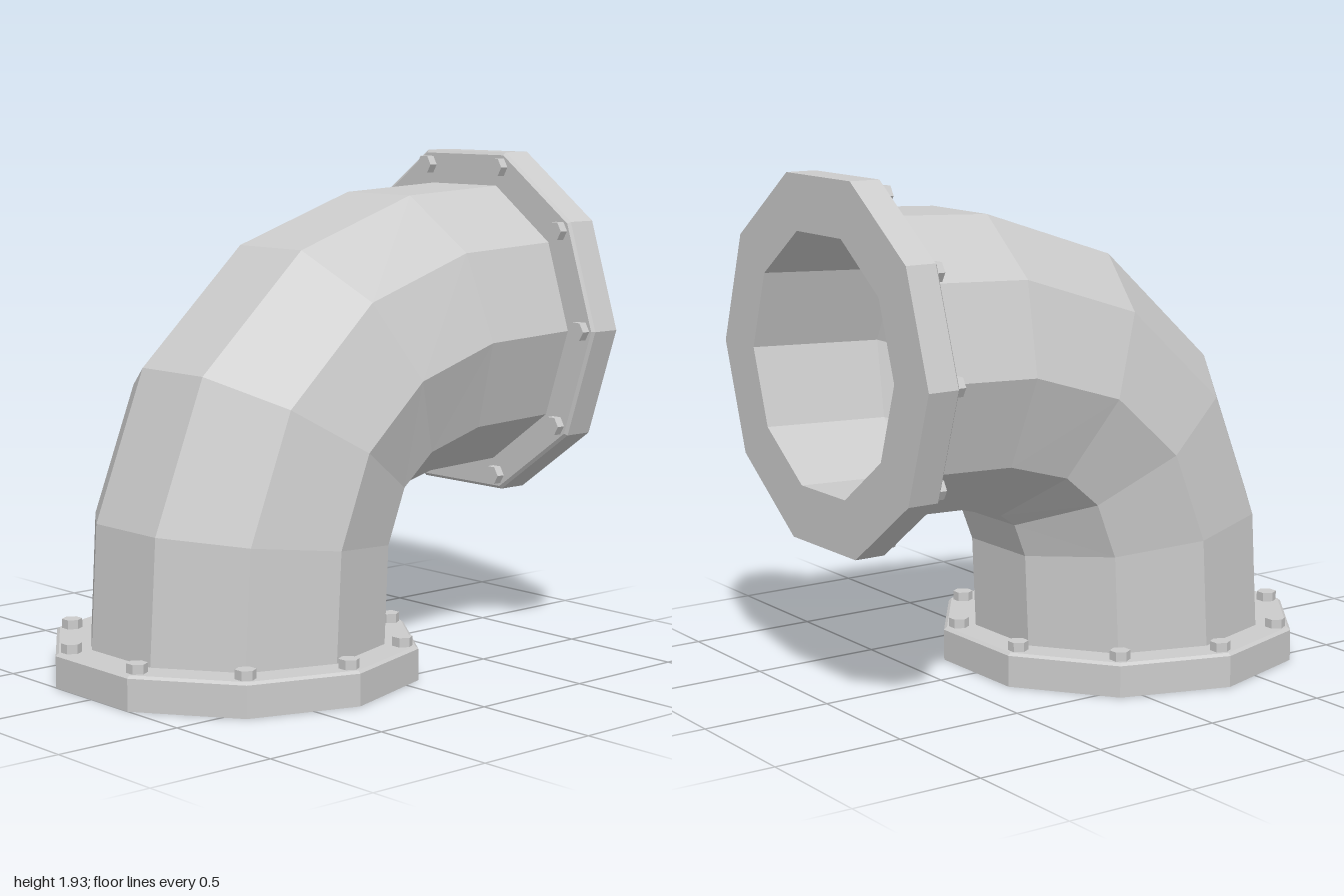
import * as THREE from 'three';

const SIDES = 10;
const PIPE_R = 0.573, BORE_R = 0.49, FLANGE_R = 0.706;
const material = new THREE.MeshStandardMaterial({ color: 0xcccccc, flatShading: true });

// Bend stations: outer-side point (x, y) and inner-side point (x, y)
const STATIONS = [
  [-0.875, 0, 0.215, 0],
  [-0.84, 0.6, 0.235, 0.48],
  [-0.62, 1.16, 0.283, 0.605],
  [-0.15, 1.592, 0.345, 0.65],
  [0.4, 1.775, 0.52, 0.695],
  [1, 1.803, 1, 0.712],
];

function mesh(name, geometry) {
  const m = new THREE.Mesh(geometry, material);
  m.name = name;
  return m;
}

// Ten-sided tube through the stations; inward = true turns the faces to the inside
function bentTube(radius, inward) {
  const positions = [], index = [];
  const scale = radius / PIPE_R;
  for (const [ox, oy, ix, iy] of STATIONS) {
    const cx = (ox + ix) / 2, cy = (oy + iy) / 2;
    const k = scale / Math.cos(Math.PI / SIDES);
    const ux = (ix - ox) / 2 * k, uy = (iy - oy) / 2 * k;
    for (let j = 0; j < SIDES; j++) {
      const a = j / SIDES * Math.PI * 2;
      positions.push(cx + ux * Math.sin(a), cy + uy * Math.sin(a), radius * Math.cos(a));
    }
  }
  for (let i = 0; i < STATIONS.length - 1; i++) {
    for (let j = 0; j < SIDES; j++) {
      const a = i * SIDES + j, b = i * SIDES + (j + 1) % SIDES;
      const c = b + SIDES, d = a + SIDES;
      if (inward) index.push(a, d, b, c, b, d);
      else index.push(a, b, d, c, d, b);
    }
  }
  const g = new THREE.BufferGeometry();
  g.setAttribute('position', new THREE.Float32BufferAttribute(positions, 3));
  g.setIndex(index);
  g.computeVertexNormals();
  return g;
}

// Flange ring with a small chamfer and a hex bolt at each corner; mating face at y = 0
function flange(name) {
  const group = new THREE.Group();
  group.name = name;
  const profile = [
    [BORE_R, 0], [FLANGE_R, 0], [FLANGE_R, 0.12], [FLANGE_R - 0.012, 0.13], [BORE_R, 0.13],
  ].map(([x, y]) => new THREE.Vector2(x, y));
  group.add(mesh('flangeRing', new THREE.LatheGeometry(profile, SIDES)));

  const boltGeometry = new THREE.CylinderGeometry(0.039, 0.039, 0.05, 6);
  for (let i = 0; i < SIDES; i++) {
    const a = i / SIDES * Math.PI * 2;
    const bolt = mesh('bolt', boltGeometry);
    bolt.position.set(0.645 * Math.sin(a), 0.14, 0.645 * Math.cos(a));
    group.add(bolt);
  }
  return group;
}

export function createModel() {
  const model = new THREE.Group();
  model.name = 'pipeElbow';

  // Pipe wall, outside and inside
  model.add(mesh('pipeOuterWall', bentTube(PIPE_R, false)));
  model.add(mesh('pipeBore', bentTube(BORE_R, true)));

  // Flange at the foot
  const bottom = flange('bottomFlange');
  bottom.position.set(-0.33, 0, 0);
  model.add(bottom);

  // Flange at the side opening, facing +x
  const side = flange('sideFlange');
  side.position.set(1, 1.2575, 0);
  side.rotation.z = Math.PI / 2;
  model.add(side);

  return model;
}
